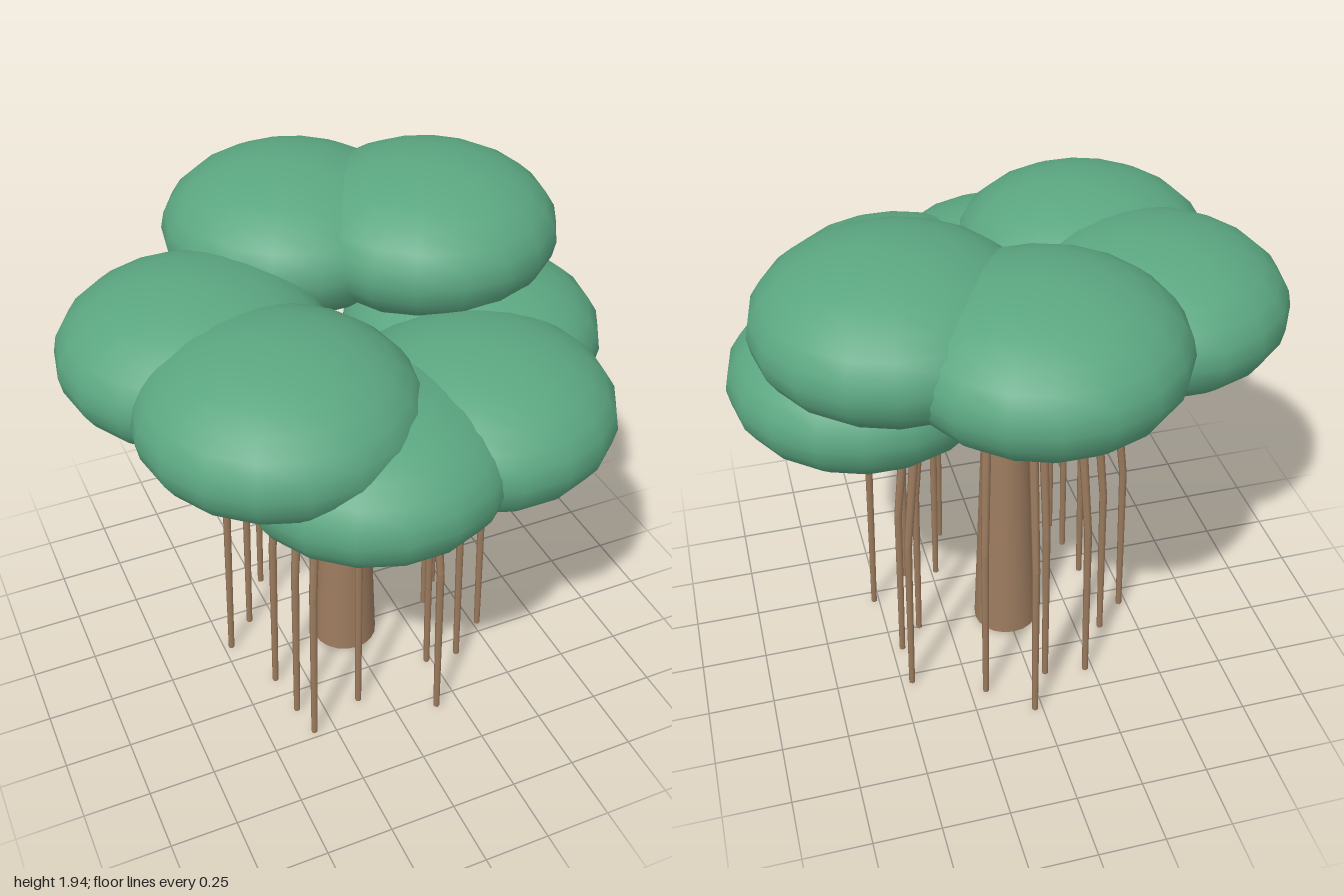
import * as THREE from 'three';

const leafGreen = new THREE.MeshStandardMaterial({ color: 0x5ba681 });
leafGreen.name = 'leafGreen';
const barkBrown = new THREE.MeshStandardMaterial({ color: 0x9c7b5e });
barkBrown.name = 'barkBrown';

// Tapered cylinder running from point a to point b
function limb(name, a, b, rA, rB, sides) {
  const dir = b.clone().sub(a);
  const mesh = new THREE.Mesh(new THREE.CylinderGeometry(rB, rA, dir.length(), sides), barkBrown);
  mesh.position.copy(a).lerp(b, 0.5);
  mesh.quaternion.setFromUnitVectors(new THREE.Vector3(0, 1, 0), dir.normalize());
  mesh.name = name;
  return mesh;
}

export function createModel() {
  const tree = new THREE.Group();
  tree.name = 'spreadingTree';
  const v = (x, y, z) => new THREE.Vector3(x, y, z);

  tree.add(limb('trunk', v(0, 0, 0), v(0, 1.05, 0), 0.13, 0.088, 20));

  // Foliage clumps: centre x, y, z
  const clumps = [
    [0.52, 1.33, -0.03],
    [0.32, 1.33, 0.41],
    [-0.12, 1.32, 0.49],
    [-0.39, 1.49, 0.36],
    [-0.52, 1.49, -0.09],
    [0.01, 1.64, -0.51],
    [0.44, 1.67, -0.26],
  ];
  const clumpGeometry = new THREE.SphereGeometry(1, 18, 14);
  const canopy = new THREE.Group();
  canopy.name = 'canopy';
  const branches = new THREE.Group();
  branches.name = 'branches';
  for (const [x, y, z] of clumps) {
    const clump = new THREE.Mesh(clumpGeometry, leafGreen);
    clump.name = 'foliageClump';
    clump.scale.set(0.483, 0.268, 0.487);
    clump.position.set(x, y, z);
    canopy.add(clump);

    // Branch rising from the trunk top into its clump
    branches.add(limb('branch', v(x * 0.06, 0.93, z * 0.06), v(x * 0.8, y - 0.1, z * 0.8), 0.045, 0.032, 7));
  }
  tree.add(canopy, branches);

  // Hanging roots: ground x, z; they lean inwards above the knee
  const rootFeet = [
    [-0.33, 0.47], [-0.35, 0.34], [-0.37, 0.16], [-0.47, -0.08], [-0.11, 0.39],
    [0.16, 0.54], [0.23, 0.31], [0.36, 0.32], [-0.06, -0.38], [0.52, 0.2],
    [0.03, -0.55], [0.19, -0.41], [0.46, -0.1], [0.46, -0.29], [0.37, 0],
    [-0.22, -0.4], [-0.35, -0.19],
  ];
  const roots = new THREE.Group();
  roots.name = 'hangingRoots';
  for (const [x, z] of rootFeet) {
    const foot = v(x, 0, z);
    const knee = v(x * 0.965, 0.7, z * 0.965);
    const top = v(x * 0.82, 1.29, z * 0.82);
    roots.add(limb('lowerRoot', foot, knee, 0.012, 0.015, 6));
    roots.add(limb('upperRoot', knee, top, 0.015, 0.018, 6));
  }
  tree.add(roots);

  return tree;
}
